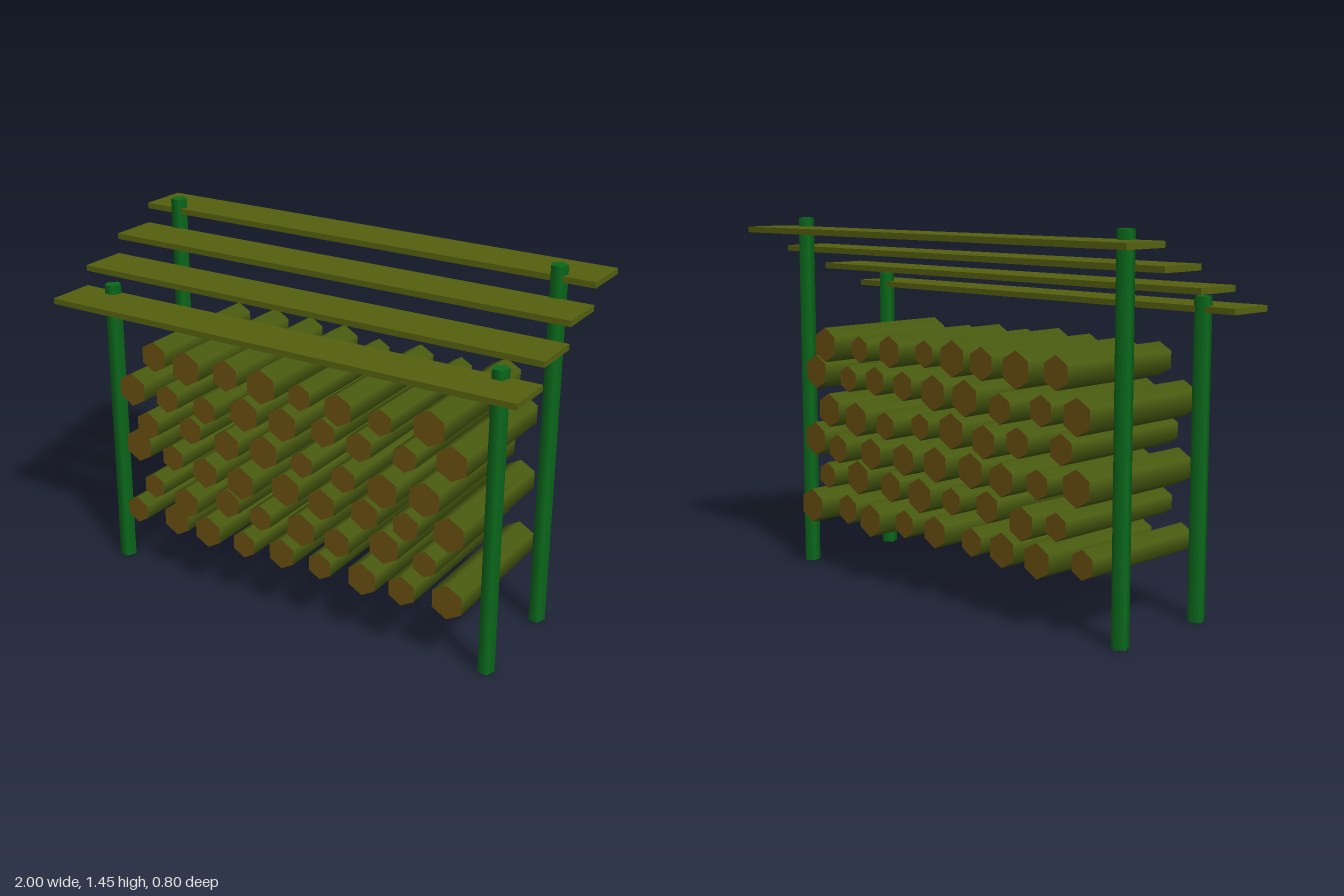
import * as THREE from 'three';

const mat = (color) => new THREE.MeshStandardMaterial({ color });

// Log rows from the bottom up: [height, radius] in thousandths, evenly spaced in x.
const ROWS = [
  [[278, 56], [267, 67], [273, 67], [267, 56], [278, 63], [278, 56], [267, 67], [278, 61], [273, 70]],
  [[406, 53], [385, 64], [417, 62], [412, 53], [406, 69], [412, 61], [426, 69], [412, 53]],
  [[556, 69], [545, 56], [535, 64], [540, 69], [540, 69], [535, 64], [535, 64], [535, 59], [551, 69]],
  [[679, 58], [684, 58], [663, 64], [680, 70], [674, 53], [658, 56], [663, 69], [679, 69]],
  [[807, 69], [807, 58], [797, 58], [816, 70], [816, 69], [823, 58], [823, 58], [813, 53], [829, 69]],
  [[952, 63], [947, 70], [952, 63], [952, 70], [952, 53], [947, 63], [941, 53], [947, 70]],
];
const STEP = 0.1775;

export function createModel() {
  const model = new THREE.Group();
  const postMat = mat(0x0b6a1c);
  const plankMat = mat(0x55600f);
  const barkMat = mat(0x4a5c10);
  const cutMat = mat(0x6a5010);

  // Seeded variation for the log positions
  let seed = 7;
  const rand = () => (seed = (seed * 16807) % 2147483647) / 2147483647;

  // Four five-sided posts, taller at the back
  for (const [z, height] of [[0.22, 1.2], [-0.22, 1.45]]) {
    for (const side of [-1, 1]) {
      const geo = new THREE.CylinderGeometry(0.034, 0.034, height, 5).rotateY(Math.PI);
      const post = new THREE.Mesh(geo, postMat);
      post.name = (z > 0 ? 'front' : 'back') + 'Post' + (side > 0 ? 'Left' : 'Right');
      post.position.set(side * 0.85, height / 2, z);
      model.add(post);
    }
  }

  // Stepped roof planks rising to the back
  for (let i = 0; i < 4; i++) {
    const plank = new THREE.Mesh(new THREE.BoxGeometry(2, 0.023, 0.2), plankMat);
    plank.name = 'roofPlank' + (i + 1);
    plank.position.set(0, 1.153 + i * 0.083, 0.302 - i * 0.201);
    model.add(plank);
  }

  // Staggered stack of six-sided logs with paler cut ends
  const stack = new THREE.Group();
  stack.name = 'logStack';
  ROWS.forEach((row, r) => row.forEach(([y, radius], i) => {
    const length = 0.57 + rand() * 0.05;
    const geo = new THREE.CylinderGeometry(radius / 1000, radius / 1000, length, 6).rotateX(Math.PI / 2);
    const log = new THREE.Mesh(geo, [barkMat, cutMat, cutMat]);
    log.name = `logRow${r + 1}Number${i + 1}`;
    log.position.set((i - (row.length - 1) / 2) * STEP, y / 1000, (rand() - 0.5) * 0.05);
    stack.add(log);
  }));
  model.add(stack);

  return model;
}
